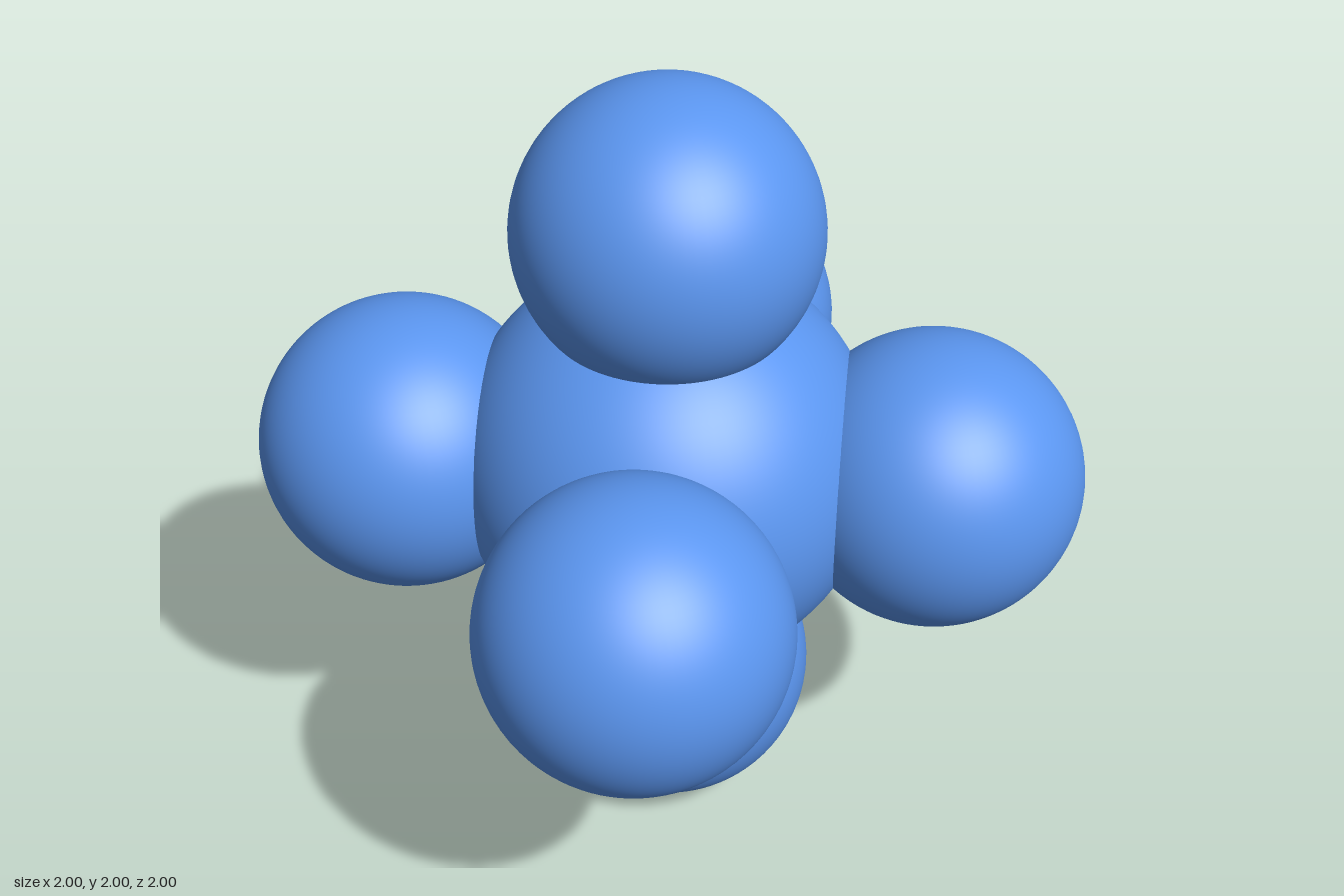
import * as THREE from 'three';

const CORE_RADIUS = 0.51;
const LOBE_RADIUS = 0.36;
const LOBE_OFFSET = 0.64;

export function createModel() {
  const model = new THREE.Group();
  model.name = 'sphereCluster';
  const material = new THREE.MeshStandardMaterial({ color: 0x5b96f0 });

  const addSphere = (name, geometry, x, y, z) => {
    const mesh = new THREE.Mesh(geometry, material);
    mesh.name = name;
    mesh.position.set(x, y + 1, z);
    model.add(mesh);
  };

  // Central ball
  addSphere('coreSphere', new THREE.SphereGeometry(CORE_RADIUS, 96, 64), 0, 0, 0);

  // Six smaller balls, one along each axis direction
  const lobe = new THREE.SphereGeometry(LOBE_RADIUS, 80, 56);
  const directions = {
    left: [1, 0, 0], right: [-1, 0, 0],
    top: [0, 1, 0], bottom: [0, -1, 0],
    front: [0, 0, 1], back: [0, 0, -1],
  };
  for (const [side, dir] of Object.entries(directions)) {
    addSphere(`${side}Sphere`, lobe, ...dir.map((d) => d * LOBE_OFFSET));
  }
  return model;
}
